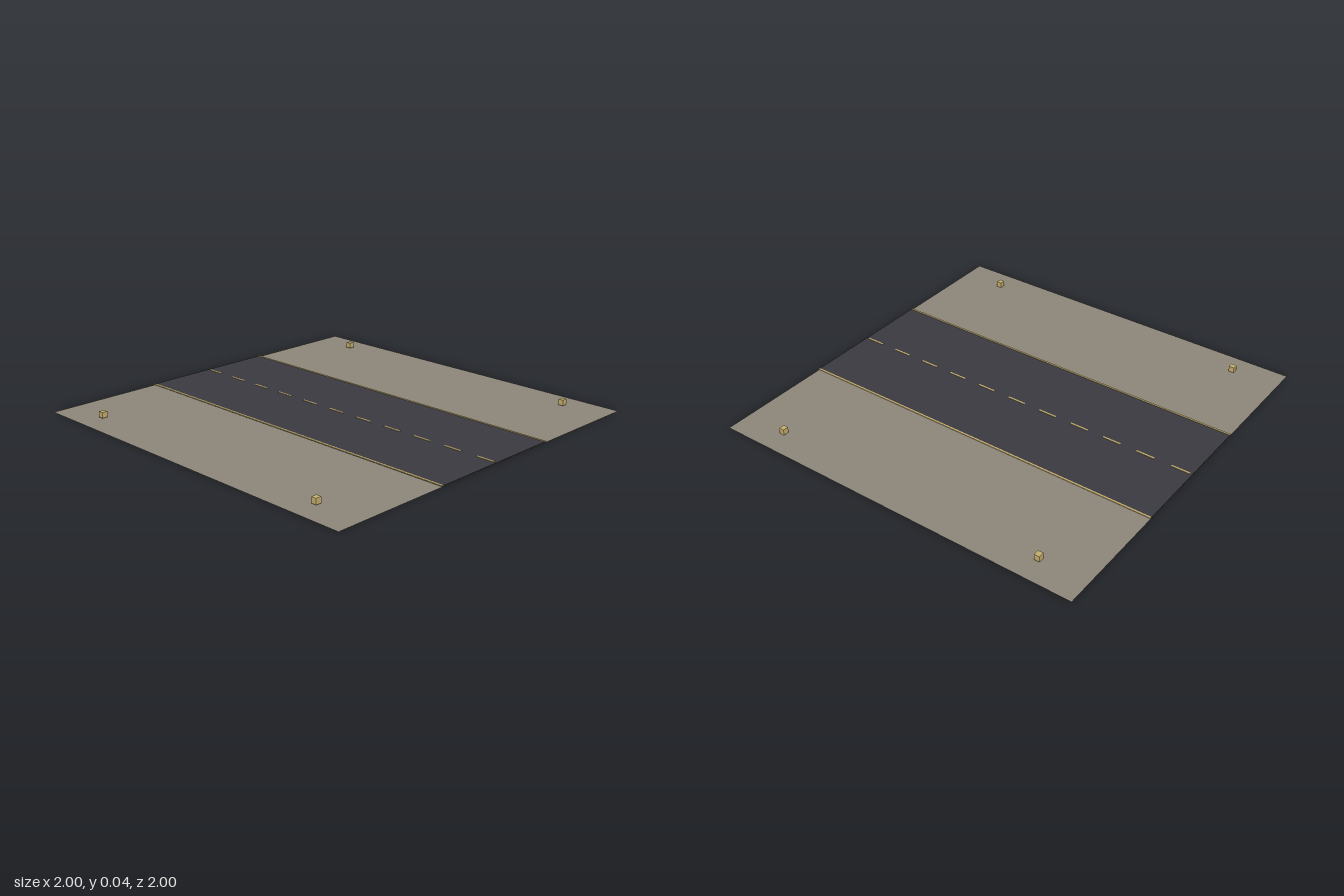
import * as THREE from 'three';

const mat = (name, color, extra = {}) => {
  const m = new THREE.MeshStandardMaterial({ color, ...extra });
  m.name = name;
  return m;
};

export function createModel() {
  const model = new THREE.Group();
  model.name = 'roadSection';
  const dirt = mat('dirt', 0x8c8578, { side: THREE.DoubleSide });
  const asphalt = mat('asphalt', 0x3a3940);
  const paint = mat('roadPaint', 0xc4ad6c);

  const add = (name, geometry, material, x, y, z) => {
    const mesh = new THREE.Mesh(geometry, material);
    mesh.name = name;
    mesh.position.set(x, y, z);
    model.add(mesh);
  };

  // Flat ground sheet
  add('ground', new THREE.PlaneGeometry(2, 2).rotateX(-Math.PI / 2), dirt, 0, 0, 0);

  // Road slab
  add('road', new THREE.BoxGeometry(0.75, 0.004, 2), asphalt, 0, 0.003, 0);

  // Solid edge lines
  const edge = new THREE.BoxGeometry(0.01, 0.003, 2);
  for (const s of [-1, 1]) add('edgeLine', edge, paint, s * 0.373, 0.0055, 0);

  // Dashed centre line
  const dash = new THREE.BoxGeometry(0.01, 0.003, 0.098);
  for (let i = -5; i <= 5; i++) add('centreDash', dash, paint, 0, 0.0055, i * 0.1875);

  // Corner marker blocks
  const marker = new THREE.BoxGeometry(0.03, 0.03, 0.028);
  for (const x of [-0.875, 0.875])
    for (const z of [-0.75, 0.75]) add('cornerMarker', marker, paint, x, 0.02, z);

  return model;
}
